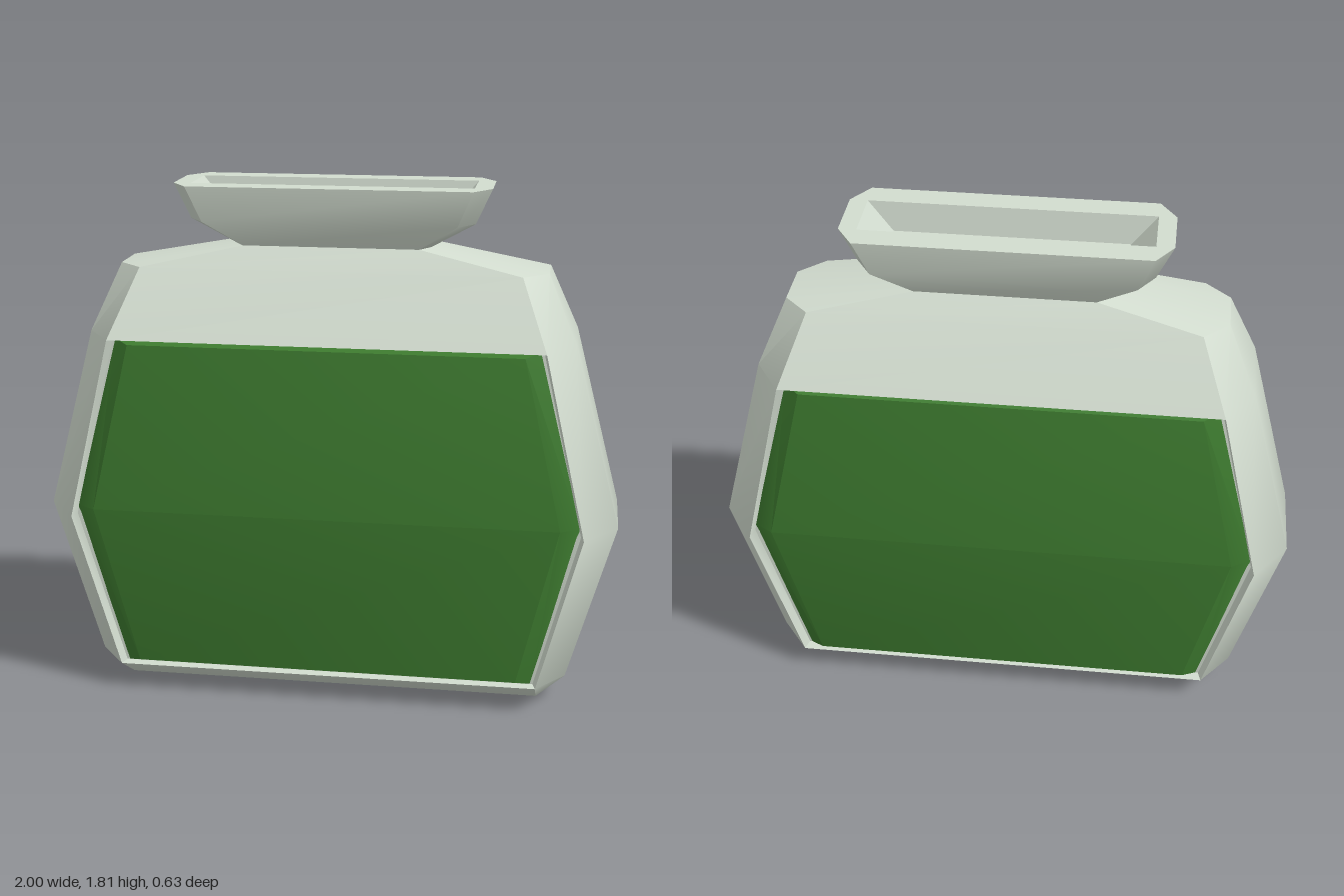
import * as THREE from 'three';
import { toCreasedNormals } from 'three/addons/utils/BufferGeometryUtils.js';

// Collects triangles and quads, dropping collapsed ones
function surface() {
  const pos = [];
  const tri = (a, b, c) => {
    const t = new THREE.Triangle(...[a, b, c].map((p) => new THREE.Vector3(...p)));
    if (t.getArea() > 1e-7) pos.push(...a, ...b, ...c);
  };
  const quad = (a, b, c, d) => { tri(a, b, c); tri(a, c, d); };
  const strip = (lower, upper, skip = []) => lower.forEach((p, i) => {
    const j = (i + 1) % lower.length;
    if (!skip.includes(i)) quad(p, lower[j], upper[j], upper[i]);
  });
  const build = () => {
    const g = new THREE.BufferGeometry();
    g.setAttribute('position', new THREE.Float32BufferAttribute(pos, 3));
    return toCreasedNormals(g, 0.6);
  };
  return { tri, quad, strip, build };
}

// Bevelled rectangle: y, half width, flat half width, half depth, flat half depth
const ring = ([y, x, xi, z, zi]) => [
  [-xi, y, z], [xi, y, z], [x, y, zi], [x, y, -zi],
  [xi, y, -z], [-xi, y, -z], [-x, y, -zi], [-x, y, zi],
];

// Six-sided outline from three rows of [half width, y, z]
const hex = ([a, b, c]) => [
  [-a[0], a[1], a[2]], [a[0], a[1], a[2]], [b[0], b[1], b[2]],
  [c[0], c[1], c[2]], [-c[0], c[1], c[2]], [-b[0], b[1], b[2]],
];

// Bevelled panel: sloped border between two outlines, then a folded face
function panel(outer, inner) {
  const s = surface();
  const o = hex(outer), n = hex(inner);
  s.strip(o, n);
  s.quad(n[0], n[1], n[2], n[5]);
  s.quad(n[5], n[2], n[3], n[4]);
  return s.build();
}

export function createModel() {
  const model = new THREE.Group();
  const glass = new THREE.MeshStandardMaterial({ color: 0xd2dccf });
  const green = new THREE.MeshStandardMaterial({ color: 0x3d7a2f });
  const add = (name, geometry, material, turn = 0) => {
    const mesh = new THREE.Mesh(geometry, material);
    mesh.name = name;
    mesh.rotation.y = turn;
    model.add(mesh);
  };

  // Flask shell, from base over the rim and down into the mouth
  const rings = [
    [0, 0.74, 0.74, 0.1, 0.1],
    [0.1, 0.84, 0.74, 0.26, 0.13],
    [0.67, 1, 0.885, 0.315, 0.157],
    [1.3, 0.835, 0.74, 0.295, 0.15],
    [1.53, 0.735, 0.65, 0.17, 0.085],
    [1.605, 0.335, 0.3, 0.12, 0.06],
    [1.69, 0.485, 0.43, 0.172, 0.086],
    [1.81, 0.54, 0.482, 0.19, 0.1],
    [1.81, 0.48, 0.48, 0.1, 0.1],
    [1.71, 0.395, 0.395, 0.085, 0.085],
  ].map(ring);
  const shell = surface();
  for (let i = 0; i < rings.length - 1; i++) {
    // Front and back stay open where the labels sit
    shell.strip(rings[i], rings[i + 1], i === 1 || i === 2 ? [0, 4] : []);
  }
  const base = rings[0], floor = rings[rings.length - 1];
  for (let i = 1; i < 7; i++) {
    shell.tri(base[0], base[i + 1], base[i]);
    shell.tri(floor[0], floor[i], floor[i + 1]);
  }
  add('flaskBody', shell.build(), glass);

  // Shallow recess and raised label, on front and back
  const recess = panel(
    [[0.74, 0.1, 0.26], [0.885, 0.67, 0.315], [0.74, 1.3, 0.295]],
    [[0.73, 0.1, 0.22], [0.875, 0.67, 0.272], [0.73, 1.3, 0.25]],
  );
  const label = panel(
    [[0.72, 0.102, 0.222], [0.872, 0.7, 0.272], [0.72, 1.298, 0.252]],
    [[0.67, 0.12, 0.262], [0.805, 0.7, 0.314], [0.67, 1.285, 0.292]],
  );
  for (const [side, turn] of [['front', 0], ['back', Math.PI]]) {
    add(`${side}LabelRecess`, recess, glass, turn);
    add(`${side}Label`, label, green, turn);
  }
  return model;
}
